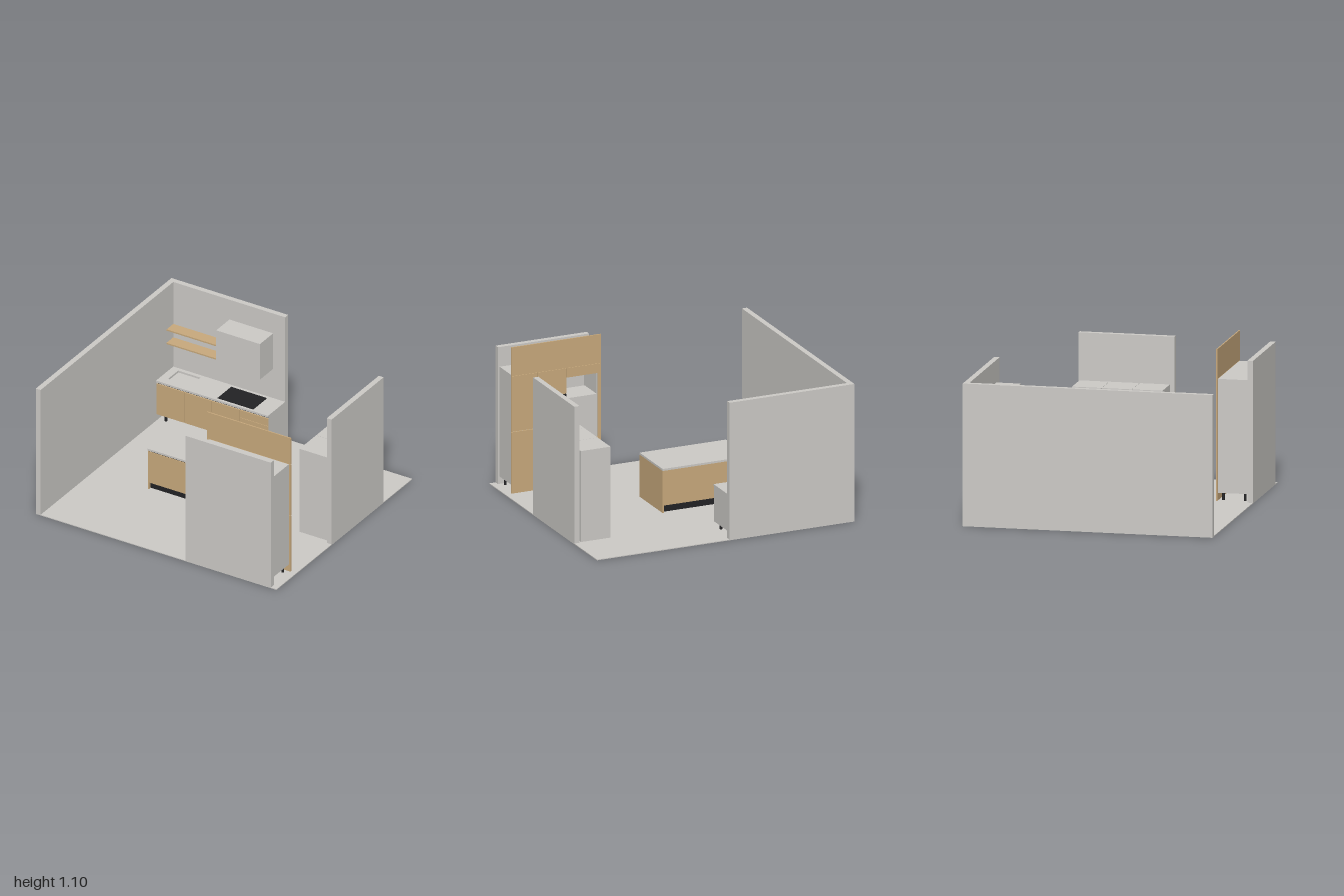
import * as THREE from 'three';

export function createModel() {
  const root = new THREE.Group();
  const material = (name, color) => {
    const m = new THREE.MeshStandardMaterial({ color });
    m.name = name;
    return m;
  };
  const grey = material('pale grey', 0xcccac6);
  const wood = material('oak', 0xc8a97c);
  const black = material('black', 0x222224);

  const group = (name) => {
    const g = new THREE.Group();
    g.name = name;
    root.add(g);
    return g;
  };
  // Box given by its limits on each axis
  const box = (parent, name, mat, [x0, x1], [y0, y1], [z0, z1]) => {
    const mesh = new THREE.Mesh(new THREE.BoxGeometry(x1 - x0, y1 - y0, z1 - z0), mat);
    mesh.position.set((x0 + x1) / 2, (y0 + y1) / 2, (z0 + z1) / 2);
    mesh.name = name;
    parent.add(mesh);
    return mesh;
  };
  const legs = (parent, xs, zs) => {
    const geometry = new THREE.CylinderGeometry(0.01, 0.01, 0.055, 12);
    for (const x of xs) for (const z of zs) {
      const leg = new THREE.Mesh(geometry, black);
      leg.position.set(x, 0.0335, z);
      leg.name = 'leg';
      parent.add(leg);
    }
  };

  // Room shell
  const room = group('room');
  box(room, 'floor', grey, [-1, 1], [0, 0.006], [-0.905, 0.905]);
  box(room, 'longWall', grey, [-1, -0.96], [0.006, 1.027], [-0.905, 0.905]);
  box(room, 'backWall', grey, [-0.96, -0.03], [0.006, 1.027], [-0.905, -0.865]);
  box(room, 'frontWall', grey, [0.245, 0.953], [0.006, 1.027], [0.865, 0.905]);
  box(room, 'sideWall', grey, [0.96, 1], [0.006, 1.027], [-0.525, 0.17]);

  // Back counter with drawer fronts, sink cut-out and hob
  const counter = group('backCounter');
  box(counter, 'carcass', grey, [-0.96, -0.03], [0.06, 0.32], [-0.865, -0.646]);
  const doors = [-0.958, -0.728, -0.498, -0.264, -0.03];
  for (let i = 0; i < 4; i++) {
    const span = [doors[i] + 0.002, doors[i + 1] - 0.002];
    const rows = i === 3 ? [0.06, 0.155, 0.25, 0.312] : [0.06, 0.312];
    for (let j = 0; j < rows.length - 1; j++) {
      box(counter, 'cabinetFront', wood, span, [rows[j], rows[j + 1] - 0.003], [-0.646, -0.637]);
    }
  }
  box(counter, 'gripChannel', black, [-0.958, -0.032], [0.312, 0.32], [-0.646, -0.644]);
  legs(counter, [-0.9, -0.5, -0.07], [-0.83, -0.672]);

  const top = new THREE.Shape();
  top.moveTo(-0.96, 0.635).lineTo(-0.03, 0.635).lineTo(-0.03, 0.865).lineTo(-0.96, 0.865).closePath();
  const sink = new THREE.Path();
  sink.moveTo(-0.9, 0.7).lineTo(-0.9, 0.835).lineTo(-0.715, 0.835).lineTo(-0.715, 0.7).closePath();
  top.holes.push(sink);
  const worktop = new THREE.Mesh(
    new THREE.ExtrudeGeometry(top, { depth: 0.015, bevelEnabled: false }), grey);
  worktop.rotation.x = -Math.PI / 2;
  worktop.position.y = 0.32;
  worktop.name = 'worktopWithSink';
  counter.add(worktop);
  box(counter, 'hob', black, [-0.46, -0.165], [0.335, 0.34], [-0.835, -0.655]);

  // Shelves and extractor on the back wall
  const wallUnits = group('wallUnits');
  for (const y of [0.563, 0.673]) {
    box(wallUnits, 'shelf', wood, [-0.96, -0.497], [y, y + 0.011], [-0.865, -0.775]);
  }
  box(wallUnits, 'extractorHood', grey, [-0.493, -0.13], [0.574, 0.865], [-0.865, -0.688]);

  // Island
  const island = group('island');
  box(island, 'carcass', grey, [-0.5, 0.15], [0.06, 0.32], [-0.18, 0.19]);
  box(island, 'plinth', black, [-0.5, 0.15], [0.006, 0.06], [-0.165, 0.175]);
  for (const x of [-0.51, 0.15]) {
    box(island, 'endPanel', wood, [x, x + 0.01], [0.006, 0.32], [-0.188, 0.198]);
  }
  for (const x of [-0.499, -0.173]) {
    box(island, 'frontDoor', wood, [x, x + 0.322], [0.06, 0.312], [0.19, 0.198]);
  }
  box(island, 'backPanel', wood, [-0.5, 0.15], [0.06, 0.32], [-0.188, -0.18]);
  box(island, 'gripChannel', black, [-0.5, 0.15], [0.312, 0.32], [0.19, 0.192]);
  box(island, 'worktop', grey, [-0.51, 0.16], [0.32, 0.335], [-0.19, 0.2]);

  // Tall cabinet wall, opening toward the room
  const tall = group('tallCabinets');
  box(tall, 'carcass', grey, [0.532, 0.94], [0.06, 0.88], [0.645, 0.865]);
  box(tall, 'lowerCarcass', grey, [0.28, 0.532], [0.06, 0.335], [0.645, 0.865]);
  box(tall, 'nicheCeiling', grey, [0.28, 0.532], [0.865, 0.88], [0.645, 0.865]);
  box(tall, 'nicheSide', grey, [0.28, 0.29], [0.335, 0.865], [0.645, 0.865]);
  box(tall, 'nicheBack', grey, [0.29, 0.532], [0.335, 0.865], [0.85, 0.865]);
  box(tall, 'builtInAppliance', grey, [0.291, 0.52], [0.335, 0.655], [0.638, 0.84]);
  const front = [0.636, 0.645];
  box(tall, 'headPanel', wood, [0.26, 0.955], [0.882, 1.097], front);
  box(tall, 'edgeStrip', wood, [0.26, 0.28], [0.006, 0.88], front);
  const panels = [
    [0.75, 0.955, 0.006, 0.463], [0.75, 0.955, 0.467, 0.88],
    [0.526, 0.747, 0.006, 0.3], [0.526, 0.747, 0.692, 0.88],
    [0.28, 0.523, 0.006, 0.333], [0.28, 0.523, 0.81, 0.88],
  ];
  for (const [x0, x1, y0, y1] of panels) box(tall, 'door', wood, [x0, x1], [y0, y1], front);
  for (const [y0, y1, grip] of [[0.302, 0.525, 0.5], [0.529, 0.69, 0.66]]) {
    box(tall, 'oven', black, [0.528, 0.747], [y0, y1], [0.633, 0.645]);
    box(tall, 'ovenHandle', grey, [0.57, 0.718], [grip - 0.004, grip + 0.004], [0.617, 0.624]);
    for (const x of [0.582, 0.7]) {
      box(tall, 'handlePost', grey, [x, x + 0.006], [grip - 0.003, grip + 0.003], [0.624, 0.633]);
    }
  }
  legs(tall, [0.31, 0.61, 0.91], [0.677, 0.835]);

  // Row of three plain cabinets by the side wall
  const row = group('sideCabinets');
  for (const [z0, z1] of [[-0.515, -0.301], [-0.299, -0.081], [-0.079, 0.14]]) {
    box(row, 'sideCabinet', grey, [0.715, 0.945], [0.006, 0.685], [z0, z1]);
  }
  return root;
}
